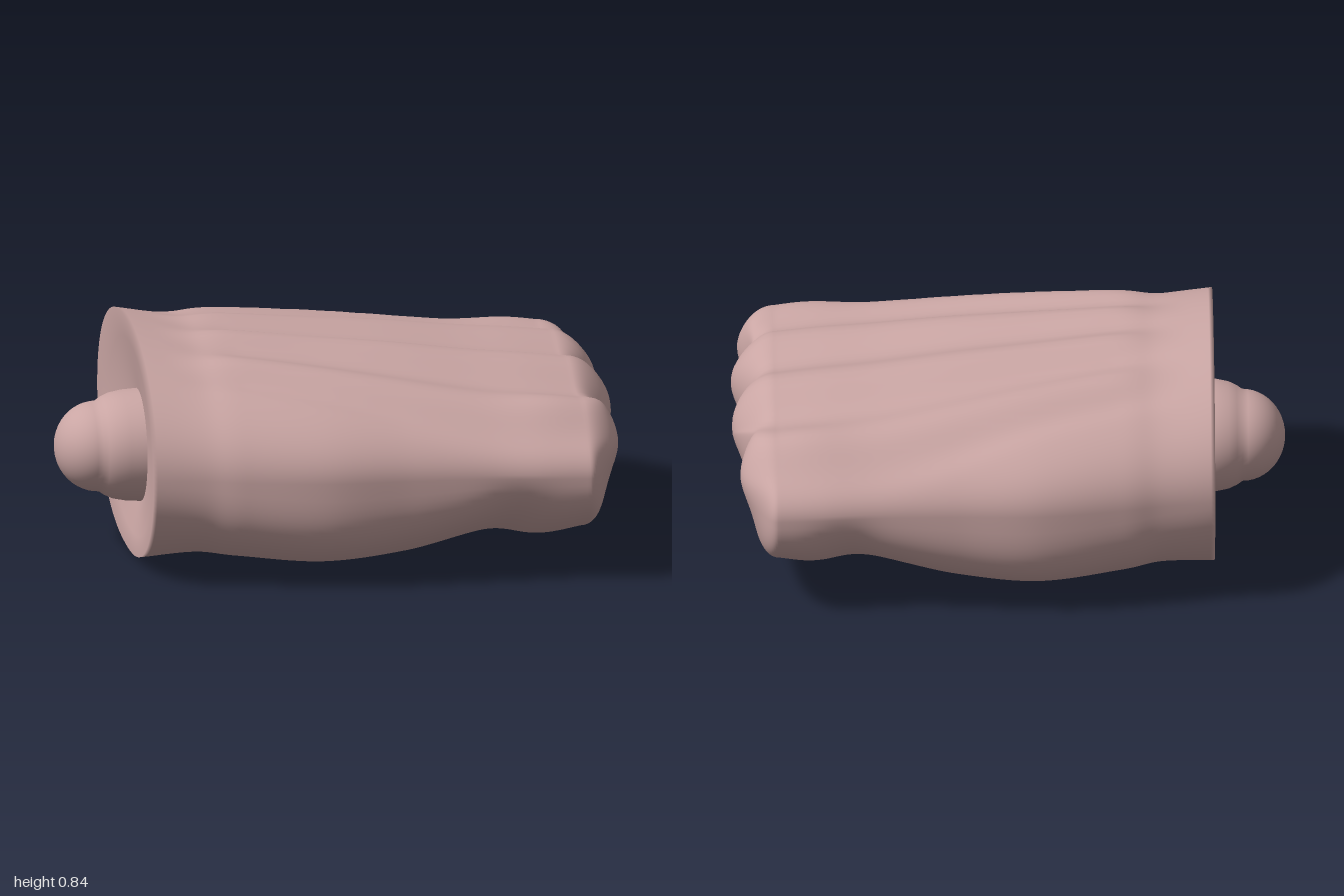
import * as THREE from 'three';

const AROUND = 128, ALONG = 90, CAP = 32, SOCKET = 3;
const PEG_Y = 0.37;
const { lerp, smoothstep } = THREE.MathUtils;
const material = new THREE.MeshStandardMaterial({ color: 0xc9a5a3, side: THREE.DoubleSide });

// Stations along the hand: x, top, bottom, half width, squareness of the palm side
const stations = [
  [-0.74, 0.845, -0.003, 0.715, 2.2],
  [-0.55, 0.81, 0.035, 0.74, 2.6],
  [-0.4, 0.805, 0.033, 0.775, 3.0],
  [-0.1, 0.775, 0.02, 0.82, 3.4],
  [0.2, 0.745, 0.046, 0.81, 3.2],
  [0.48, 0.71, 0.105, 0.81, 2.8],
  [0.68, 0.69, 0.075, 0.825, 2.6],
  [0.84, 0.67, 0.11, 0.83, 2.6],
];
const spline = (pick) => new THREE.CatmullRomCurve3(stations.map(pick), false, 'catmullrom');
const heights = spline((s) => new THREE.Vector3(s[0], s[1], s[2]));
const widths = spline((s) => new THREE.Vector3(s[0], s[3], s[4]));

const power = (v, n) => Math.sign(v) * Math.abs(v) ** (2 / n);
const bell = (v, width) => Math.exp(-((v / width) ** 2));

// One point of the cross-section at t along the hand and angle a around it
function sectionPoint(t, a) {
  const { x, y: top, z: bottom } = heights.getPoint(t);
  const { y: half, z: square } = widths.getPoint(t);
  const middle = 0.42 - 0.02 * t;
  const c = Math.cos(a), s = Math.sin(a);
  const n = s >= 0 ? 2.05 : square;
  let z = half * power(c, n);
  let y = middle + (s >= 0 ? top - middle : middle - bottom) * power(s, n);
  if (s >= 0) {
    // Four finger ridges fanning out from the wrist, with a fuller outer fingertip
    const fan = lerp(0.6, 1, smoothstep(x, -0.7, 0.75));
    const spread = Math.abs(z) / fan;
    const edge = lerp(0.75, 0.6, t);
    const fade = (1 - smoothstep(spread, edge, edge + 0.22)) * smoothstep(x, -0.65, -0.35);
    y -= (0.013 + 0.014 * t) * fade * Math.cos((2 * Math.PI * spread) / 0.4);
    y += 0.018 * bell(x - 0.74, 0.14) * bell(Math.abs(z) - 0.62, 0.1) * s;
  } else {
    // Hollow between the palm pads, and a dent behind the curled fingers
    y += 0.04 * bell(z, 0.33) * bell(x + 0.05, 0.45) * -s;
    z *= 1 - 0.075 * bell(x - 0.6, 0.12) * Math.abs(Math.sin(2 * a));
  }
  return new THREE.Vector3(x, y, z);
}

// Knuckle end: the last section closes in while bulging forward
function capPoint(r, a) {
  const p = sectionPoint(1, a);
  const y = 0.38 + (p.y - 0.38) * r;
  const z = p.z * r;
  const ridge = (Math.sin((Math.PI * z) / 0.4) ** 2 + 0.02) ** 0.7;
  const depth = 0.09 + 0.076 * ridge * bell(y - 0.52, 0.16);
  return new THREE.Vector3(p.x + depth * Math.sqrt(1 - r ** 4.5), y, z);
}

// Shallow socket: runs from the peg (r = 0) out to the wrist rim (r = 1)
function socketPoint(r, a) {
  const inner = new THREE.Vector3(-0.69, PEG_Y + 0.19 * Math.sin(a), 0.2 * Math.cos(a));
  return inner.lerp(sectionPoint(0, a), r);
}

function handPoint(row, a) {
  if (row < SOCKET) return socketPoint(row / SOCKET, a);
  const i = row - SOCKET;
  if (i <= ALONG) return sectionPoint(i / ALONG, a);
  return capPoint(Math.cos(((i - ALONG) / CAP) * Math.PI / 2), a);
}

function handGeometry() {
  const position = [], index = [];
  const rows = SOCKET + ALONG + CAP;
  for (let i = 0; i <= rows; i++) {
    for (let j = 0; j < AROUND; j++) {
      const p = handPoint(i, (j / AROUND) * Math.PI * 2);
      position.push(p.x, p.y, p.z);
      if (i < rows) {
        const p0 = i * AROUND + j, p1 = i * AROUND + (j + 1) % AROUND;
        index.push(p0, p0 + AROUND, p1, p1, p0 + AROUND, p1 + AROUND);
      }
    }
  }
  const geometry = new THREE.BufferGeometry();
  geometry.setAttribute('position', new THREE.Float32BufferAttribute(position, 3));
  geometry.setIndex(index);
  geometry.computeVertexNormals();
  return geometry;
}

// Rounded wrist peg, turned around the x axis: [radius, distance from its tip]
function pegGeometry() {
  const profile = [];
  for (let i = 0; i <= 12; i++) {
    const a = (i / 12) * Math.PI / 2;
    profile.push(new THREE.Vector2(0.168 * Math.sin(a), 0.155 * (1 - Math.cos(a))));
  }
  for (const [r, d] of [[0.182, 0.175], [0.196, 0.205], [0.205, 0.25], [0.21, 0.32]]) {
    profile.push(new THREE.Vector2(r, d));
  }
  return new THREE.LatheGeometry(profile, 48).rotateZ(-Math.PI / 2);
}

export function createModel() {
  const group = new THREE.Group();
  group.name = 'hand';

  const hand = new THREE.Mesh(handGeometry(), material);
  hand.name = 'palmAndKnuckles';
  group.add(hand);

  const peg = new THREE.Mesh(pegGeometry(), material);
  peg.name = 'wristPeg';
  peg.position.set(-1, PEG_Y, 0);
  peg.scale.set(1, 0.97, 1.1);
  group.add(peg);

  return group;
}
